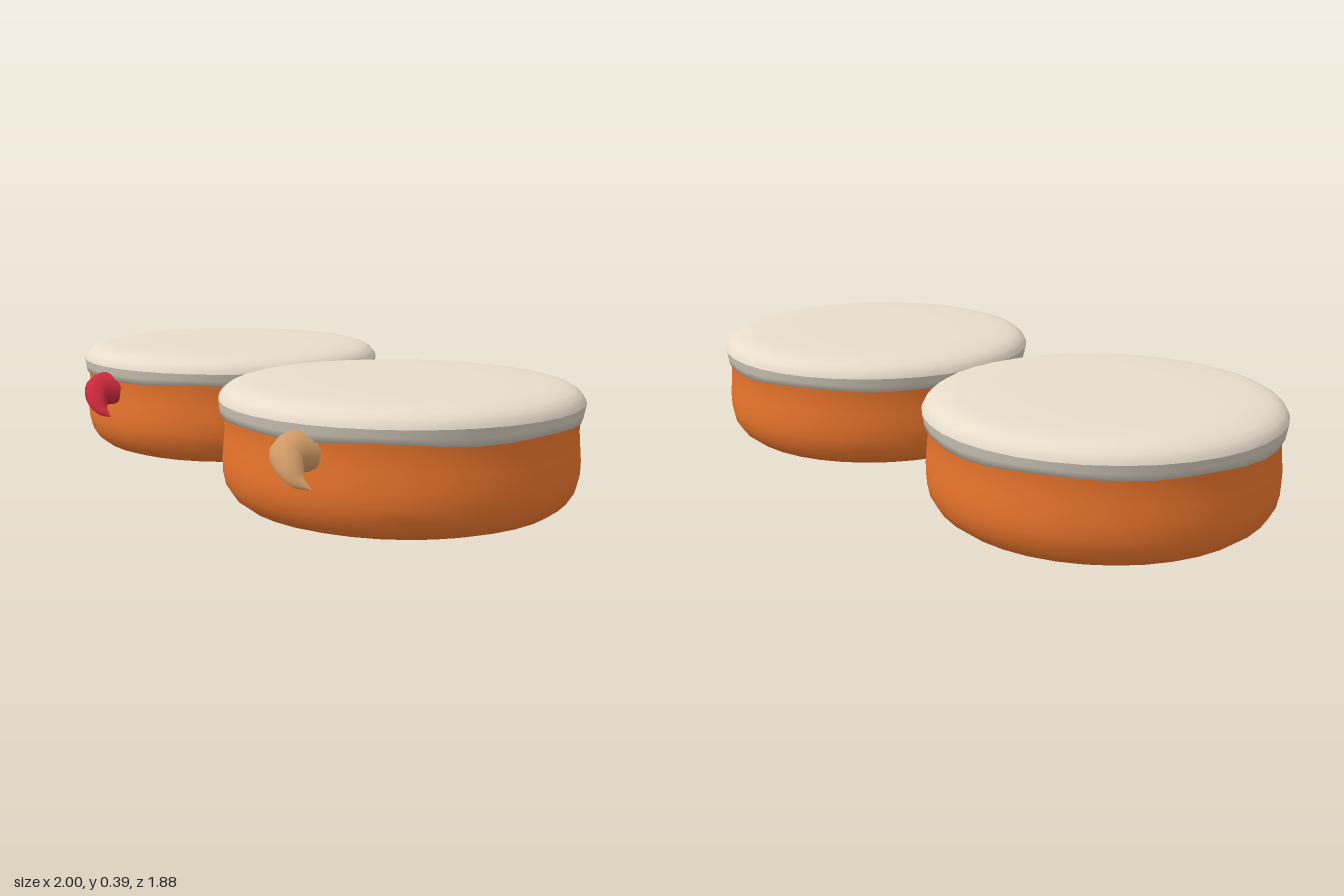
import * as THREE from 'three';

const mat = (color, side = THREE.FrontSide) => new THREE.MeshStandardMaterial({ color, side });

// Smooth turned shape; points within the wave band ripple gently up and down
function turned(name, profile, material, waveAt = () => 0) {
  const curve = profile.map(([r, y]) => new THREE.Vector2(r, y));
  const geo = new THREE.LatheGeometry(curve, 36);
  const p = geo.attributes.position;
  for (let i = 0; i < p.count; i++) {
    const a = Math.atan2(p.getX(i), p.getZ(i));
    p.setY(i, p.getY(i) + waveAt(p.getY(i)) * (Math.sin(a * 7) + 0.5 * Math.sin(a * 4 + 1)));
  }
  const mesh = new THREE.Mesh(geo, material);
  mesh.name = name;
  return mesh;
}

// Tapered, hooked tab: rings of varying radius swept along a curve
function hookedTab(color) {
  const path = new THREE.CatmullRomCurve3([
    [-0.09, 0.25, 0.50], [-0.122, 0.257, 0.535], [-0.135, 0.25, 0.552],
    [-0.122, 0.222, 0.575], [-0.100, 0.190, 0.582], [-0.064, 0.167, 0.575],
  ].map((v) => new THREE.Vector3(...v)));
  const radii = [0.05, 0.06, 0.057, 0.042, 0.022, 0.002];
  const steps = 24, sides = 16;
  const geo = new THREE.TubeGeometry(path, steps, 1, sides, false);
  const p = geo.attributes.position;
  const v = new THREE.Vector3();
  for (let i = 0; i <= steps; i++) {
    const u = i / steps;
    const c = path.getPointAt(u);
    const t = path.getUtoTmapping(u) * (radii.length - 1);
    const k = Math.min(Math.floor(t), radii.length - 2);
    const r = THREE.MathUtils.lerp(radii[k], radii[k + 1], t - k);
    for (let j = 0; j <= sides; j++) {
      const n = i * (sides + 1) + j;
      v.fromBufferAttribute(p, n).sub(c).multiplyScalar(r).add(c);
      p.setXYZ(n, v.x, v.y, v.z);
    }
  }
  const mesh = new THREE.Mesh(geo, mat(color, THREE.DoubleSide));
  mesh.name = 'hookedTab';
  return mesh;
}

function cushion(name, x, z, tabColor, tabTurn) {
  const g = new THREE.Group();
  g.name = name;
  const cream = mat(0xe8dccb);

  // Rounded base with a slight waist
  g.add(turned('base', [
    [0, 0.006], [0.2, 0.006], [0.4, 0.006], [0.435, 0.009], [0.475, 0.022], [0.508, 0.046],
    [0.53, 0.08], [0.539, 0.12], [0.54, 0.16], [0.536, 0.21], [0.533, 0.25],
    [0.535, 0.28], [0.537, 0.31],
  ], mat(0xe8742c)));

  // Rim band of the cover, wavy at its lower edge
  g.add(turned('coverRim', [
    [0.525, 0.298], [0.543, 0.29], [0.547, 0.31], [0.551, 0.335],
  ], mat(0xcfc6b8, THREE.DoubleSide), (y) => (y < 0.3 ? 0.004 : y < 0.32 ? 0.002 : 0)));

  // Softly domed cover top
  g.add(turned('coverTop', [
    [0.551, 0.335], [0.546, 0.348], [0.535, 0.362], [0.515, 0.375], [0.485, 0.384],
    [0.44, 0.389], [0.36, 0.392], [0.2, 0.394], [0, 0.394],
  ], cream));

  const tab = hookedTab(tabColor);
  tab.rotation.y = tabTurn;
  g.add(tab);
  g.position.set(x, 0, z);
  return g;
}

export function createModel() {
  const model = new THREE.Group();
  model.name = 'cushionPair';
  model.add(cushion('rearCushion', -0.45, -0.39, 0xc8283a, -0.28));
  model.add(cushion('frontCushion', 0.45, 0.33, 0xd09a66, 0));
  return model;
}
